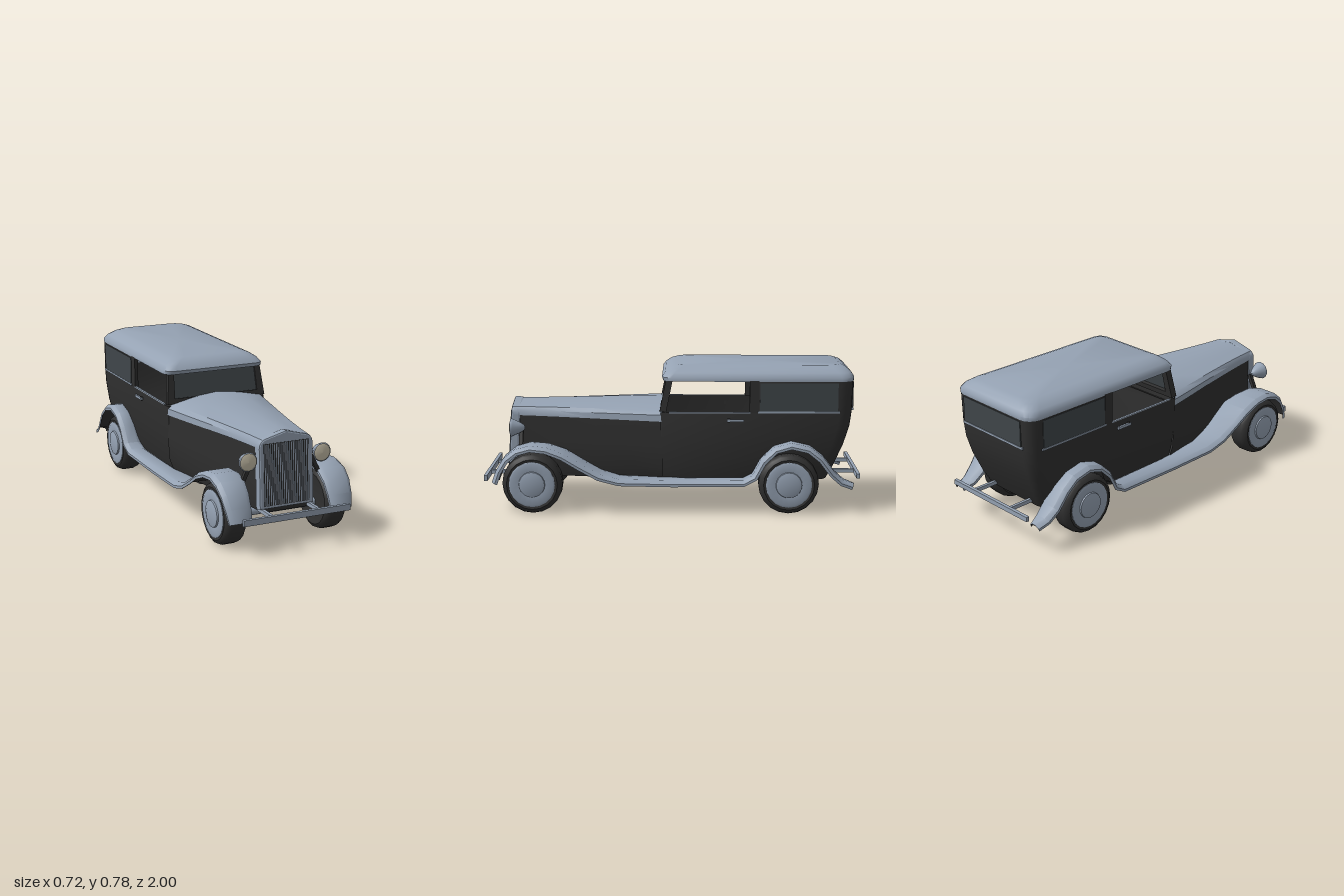
import * as THREE from 'three';
import { toCreasedNormals } from 'three/addons/utils/BufferGeometryUtils.js';

const D = THREE.DoubleSide;
const steel = new THREE.MeshStandardMaterial({ color: 0x95a2b3, side: D });
steel.name = 'steel blue';
const black = new THREE.MeshStandardMaterial({ color: 0x303030, side: D });
black.name = 'body black';
const glass = new THREE.MeshStandardMaterial({ color: 0x40464a });
glass.name = 'dark glass';
const lensMat = new THREE.MeshStandardMaterial({ color: 0xc8c0aa });
lensMat.name = 'lens cream';

// Skin over a list of rings that run right-handed about the loft direction
function loft(rings, closed = true, caps = [false, false], crease = 0.6) {
  const n = rings[0].length, pos = rings.flat(2), idx = [];
  for (let i = 0; i < rings.length - 1; i++) {
    for (let j = 0; j < (closed ? n : n - 1); j++) {
      const k = (j + 1) % n, a = i * n + j, b = i * n + k;
      idx.push(a, b, b + n, a, b + n, a + n);
    }
  }
  [0, rings.length - 1].forEach((r, e) => {
    if (!caps[e]) return;
    const c = pos.length / 3;
    for (let q = 0; q < 3; q++) pos.push(rings[r].reduce((t, p) => t + p[q], 0) / n);
    for (let j = 0; j < n; j++) {
      const a = r * n + j, b = r * n + (j + 1) % n;
      idx.push(c, e ? a : b, e ? b : a);
    }
  });
  const g = new THREE.BufferGeometry();
  g.setAttribute('position', new THREE.Float32BufferAttribute(pos, 3));
  g.setIndex(idx);
  return toCreasedNormals(g, crease);
}

// Rounded rectangle footprint at height y
function footprint(y, hw, zf, zb, rf, rb) {
  const out = [];
  [[1, zf, -rf, rf], [1, zb, rb, rb], [-1, zb, rb, rb], [-1, zf, -rf, rf]].forEach(([s, z, dz, r], q) => {
    for (let i = 0; i <= 4; i++) {
      const t = (q + i / 4) * Math.PI / 2;
      out.push([s * (hw - r) + r * Math.sin(t), y, z + dz + r * Math.cos(t)]);
    }
  });
  return out;
}

export function createModel() {
  const car = new THREE.Group();
  car.name = 'vintageCar';
  const add = (name, geo, mat, x = 0, y = 0, z = 0) => {
    const m = new THREE.Mesh(geo, mat);
    m.name = name;
    m.position.set(x, y, z);
    car.add(m);
    return m;
  };
  const box = (name, mat, w, h, d, x, y, z) => add(name, new THREE.BoxGeometry(w, h, d), mat, x, y, z);

  // Cabin tub, rear upper wall and roof
  add('cabinTub', loft([
    [0.17, 0.245, -0.83], [0.24, 0.265, -0.865], [0.36, 0.283, -0.915], [0.46, 0.289, -0.945], [0.54, 0.29, -0.955],
  ].map(([y, w, zb]) => footprint(y, w, 0.06, zb, 0.01, 0.07)), true, [true, false]), black);
  add('rearUpperWall', loft([[0.54, -0.955], [0.71, -0.96]]
    .map(([y, zb]) => footprint(y, 0.29, -0.415, zb, 0.002, 0.07)), false), black);
  add('roof', loft([
    [0.705, 0.291, 0.045, -0.962], [0.725, 0.29, 0.052, -0.964], [0.748, 0.272, 0.035, -0.95],
    [0.769, 0.24, 0.008, -0.925], [0.782, 0.205, -0.025, -0.895],
  ].map(([y, w, zf, zb]) => footprint(y, w, zf, zb, 0.05, 0.07)), true, [true, true], 0.9), steel);

  // Windscreen frame and glass, leaning back
  const frame = new THREE.Shape([[-0.288, 0], [0.288, 0], [0.272, 0.17], [-0.272, 0.17]].map(p => new THREE.Vector2(...p)));
  frame.curves[2].v2 && frame.holes.push(new THREE.Path(
    [[-0.245, 0.03], [-0.24, 0.16], [0.24, 0.16], [0.245, 0.03]].map(p => new THREE.Vector2(...p))));
  const screen = add('windscreenFrame', new THREE.ExtrudeGeometry(frame, { depth: 0.035, bevelEnabled: false }), black, 0, 0.54, 0.03);
  screen.rotation.x = -0.2;
  const pane = box('windscreenGlass', glass, 0.49, 0.14, 0.006, 0, 0.633, 0.035);
  pane.rotation.x = -0.2;

  // Rear window
  box('rearWindow', glass, 0.44, 0.135, 0.008, 0, 0.628, -0.959);
  box('rearWindowSill', steel, 0.46, 0.012, 0.012, 0, 0.552, -0.957);

  // Lower body beside the engine and the bonnet above it
  const widths = [[0.05, 0.285], [0.2, 0.256], [0.4, 0.215], [0.6, 0.177], [0.75, 0.153], [0.86, 0.14]];
  add('engineSides', loft(widths.map(([z, w]) => [
    [w * 0.88, 0.17, z], [w * 0.97, 0.24, z], [w, 0.36, z], [w, 0.5, z],
    [-w, 0.5, z], [-w, 0.36, z], [-w * 0.97, 0.24, z], [-w * 0.88, 0.17, z],
  ]), true, [false, true]), black);
  add('bonnet', loft(widths.map(([z, w]) => {
    const t = (z - 0.05) / 0.81, top = 0.588 - 0.016 * t;
    const half = [[w + 0.004, 0.49 + 0.01 * t], [w + 0.002, 0.525], [w * 0.92, 0.548 - 0.004 * t], [w * 0.5, top - 0.015]];
    return [...half.map(([x, y]) => [x, y, z]), [0, top, z], ...half.reverse().map(([x, y]) => [-x, y, z])];
  }), false), steel);

  // Radiator shell with dark grille and bright slats
  const shell = new THREE.Shape();
  shell.moveTo(-0.142, 0);
  shell.lineTo(0.142, 0);
  shell.lineTo(0.142, 0.3);
  shell.quadraticCurveTo(0.142, 0.335, 0.105, 0.343);
  shell.lineTo(0, 0.37);
  shell.lineTo(-0.105, 0.343);
  shell.quadraticCurveTo(-0.142, 0.335, -0.142, 0.3);
  const radiator = new THREE.Group();
  radiator.name = 'radiator';
  radiator.position.set(0, 0.2, 0.845);
  radiator.rotation.x = -0.06;
  const shellGeo = new THREE.ExtrudeGeometry(shell, { depth: 0.03, bevelSize: 0.008, bevelThickness: 0.01, bevelSegments: 2 });
  radiator.add(Object.assign(new THREE.Mesh(shellGeo, steel), { name: 'radiatorShell' }));
  const grille = new THREE.Mesh(new THREE.BoxGeometry(0.25, 0.315, 0.006), black);
  grille.name = 'grille';
  grille.position.set(0, 0.165, 0.039);
  radiator.add(grille);
  for (let i = 0; i < 24; i++) {
    const slat = new THREE.Mesh(new THREE.BoxGeometry(0.0042, 0.31, 0.004), steel);
    slat.name = 'grilleSlat';
    slat.position.set(-0.12 + i * 0.24 / 23, 0.165, 0.043);
    radiator.add(slat);
  }
  car.add(radiator);

  // Wing and running board path, rear to front: z, y, inner x, outer x
  const path = [
    [-0.965, 0.165, 0.27, 0.335], [-0.91, 0.185, 0.25, 0.345], [-0.86, 0.23, 0.24, 0.355], [-0.8, 0.31, 0.24, 0.36],
    [-0.73, 0.365, 0.25, 0.36], [-0.63, 0.388, 0.26, 0.36], [-0.54, 0.362, 0.26, 0.36], [-0.47, 0.295, 0.26, 0.358],
    [-0.425, 0.21, 0.25, 0.355], [-0.38, 0.185, 0.24, 0.352], [0.0, 0.183, 0.23, 0.352], [0.28, 0.188, 0.2, 0.352],
    [0.38, 0.215, 0.18, 0.355], [0.48, 0.27, 0.17, 0.357], [0.57, 0.325, 0.17, 0.36], [0.66, 0.36, 0.19, 0.36],
    [0.75, 0.37, 0.2, 0.36], [0.83, 0.348, 0.205, 0.36], [0.89, 0.3, 0.21, 0.357], [0.93, 0.235, 0.215, 0.35], [0.955, 0.168, 0.22, 0.34],
  ];
  const wing = (s, drop) => loft(path.map(([z, y, xi, xo], i) => {
    const a = path[Math.max(i - 1, 0)], b = path[Math.min(i + 1, path.length - 1)];
    const l = Math.hypot(b[0] - a[0], b[1] - a[1]), nz = -(b[1] - a[1]) / l, ny = (b[0] - a[0]) / l;
    const e = drop * 0.6;
    const sec = [[xo - e, -0.032], [xo - e, -0.018], [xo - 0.022, -drop], [xi + 0.025, -drop], [xi + e, -0.015], [xi + e, -0.03]]
      .map(([x, n]) => [s * x, y + ny * n, z + nz * n]);
    return s > 0 ? sec : sec.reverse();
  }), false, [false, false], 0.7);

  // Wheel profile, turned about the axle
  const v = pts => pts.map(p => new THREE.Vector2(...p));
  const tyreGeo = toCreasedNormals(new THREE.LatheGeometry(v([[0.0, -0.05], [0.1, -0.052], [0.135, -0.06], [0.152, -0.05],
    [0.16, -0.03], [0.16, 0.03], [0.152, 0.05], [0.135, 0.06], [0.1, 0.052]]), 20), 0.7);
  const discGeo = toCreasedNormals(new THREE.LatheGeometry(v([[0.122, 0.05], [0.122, 0.06], [0.112, 0.064], [0.07, 0.06],
    [0.068, 0.068], [0.05, 0.073], [0, 0.075]]), 20), 0.7);
  const lampGeo = new THREE.LatheGeometry(v([[0, -0.075], [0.014, -0.07], [0.03, -0.045], [0.045, -0.012], [0.05, 0], [0.045, 0.004]]), 14);
  const lensGeo = new THREE.LatheGeometry(v([[0.046, 0.002], [0.03, 0.008], [0, 0.011]]), 14);

  for (const s of [1, -1]) {
    const side = s > 0 ? 'left' : 'right';
    add(side + 'Wing', wing(s, 0), steel);
    add(side + 'WingLining', wing(s, 0.006), black);

    for (const [z, end] of [[0.74, 'Front'], [-0.62, 'Rear']]) {
      for (const [part, geo, mat] of [['Tyre', tyreGeo, black], ['WheelDisc', discGeo, steel]]) {
        add(side + end + part, geo, mat, s * 0.28, 0.16, z).rotation.z = -s * Math.PI / 2;
      }
    }

    // Headlamp on its stay
    add(side + 'Headlamp', lampGeo, steel, s * 0.205, 0.443, 0.86).rotation.x = Math.PI / 2;
    add(side + 'HeadlampLens', lensGeo, lensMat, s * 0.205, 0.443, 0.86).rotation.x = Math.PI / 2;
    const stay = box(side + 'HeadlampStay', black, 0.02, 0.1, 0.02, s * 0.19, 0.375, 0.81);
    stay.rotation.z = s * 0.45;

    // Centre pillar, rear side glass, sills and door handle
    box(side + 'CentrePillar', black, 0.02, 0.17, 0.05, s * 0.281, 0.625, -0.435);
    box(side + 'RearSideGlass', glass, 0.006, 0.15, 0.41, s * 0.29, 0.622, -0.67);
    box(side + 'RearSideSill', steel, 0.01, 0.01, 0.43, s * 0.29, 0.542, -0.67);
    box(side + 'FrontSideSill', steel, 0.012, 0.006, 0.43, s * 0.286, 0.54, -0.2);
    box(side + 'DoorHandle', steel, 0.01, 0.014, 0.09, s * 0.3, 0.499, -0.335);
    box(side + 'HandleMount', black, 0.02, 0.018, 0.014, s * 0.292, 0.499, -0.3);

    // Bumper brackets
    box(side + 'FrontBumperBracket', steel, 0.016, 0.02, 0.16, s * 0.13, 0.185, 0.91);
    box(side + 'RearBumperBracket', steel, 0.016, 0.02, 0.18, s * 0.14, 0.197, -0.9);
  }

  // Bumpers and axles
  box('frontBumper', steel, 0.59, 0.032, 0.018, 0, 0.184, 0.991);
  box('rearBumper', steel, 0.58, 0.026, 0.018, 0, 0.199, -0.991);
  for (const [z, name] of [[0.74, 'frontAxle'], [-0.62, 'rearAxle']]) {
    add(name, new THREE.CylinderGeometry(0.022, 0.022, 0.46, 10), steel, 0, 0.143, z).rotation.z = Math.PI / 2;
  }
  return car;
}
